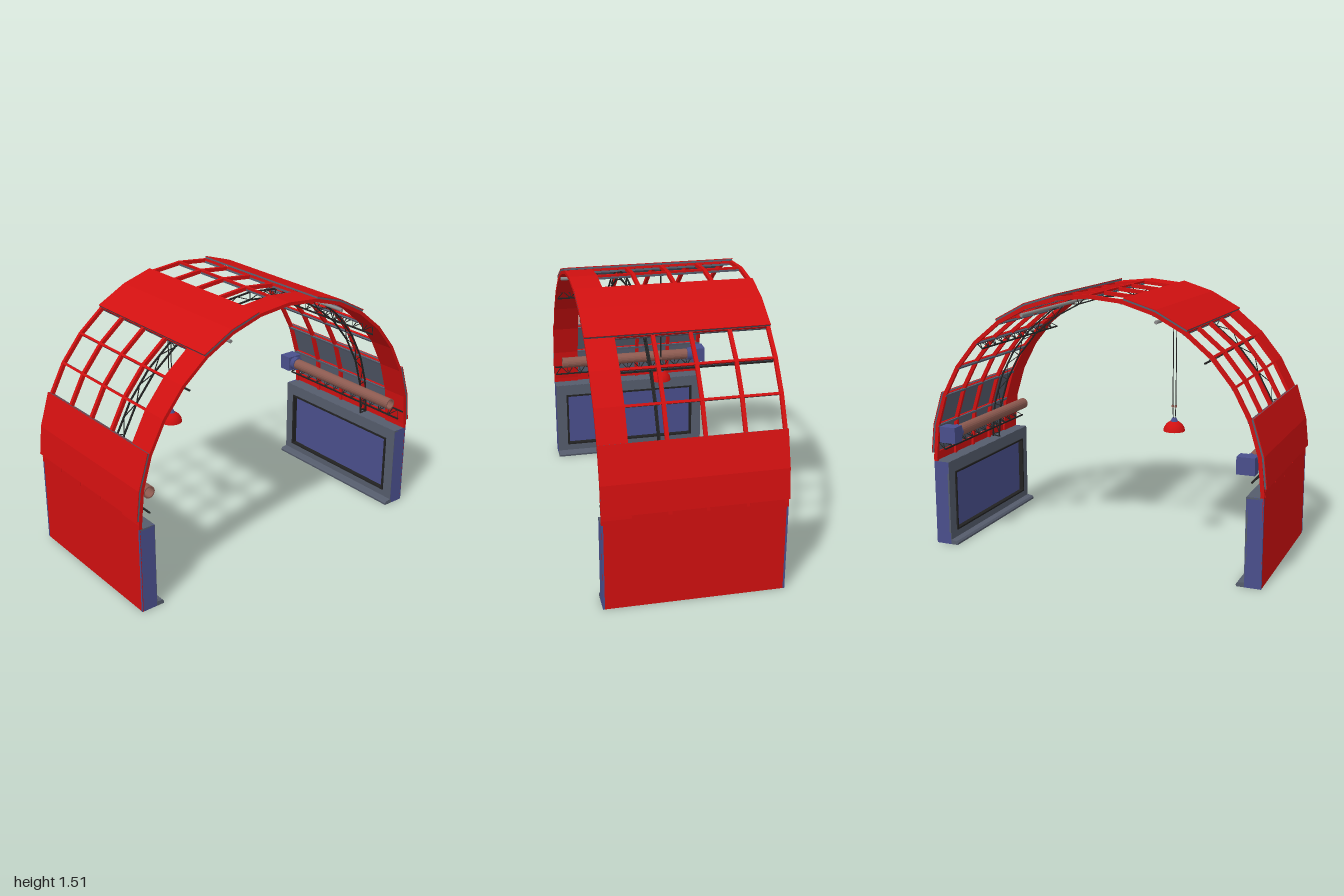
import * as THREE from 'three';
import { mergeGeometries } from 'three/addons/utils/BufferGeometryUtils.js';

const mat = (color) => new THREE.MeshStandardMaterial({ color, side: THREE.DoubleSide });
const RED = mat(0xd01010), BLUE = mat(0x4a4f8c), SLATE = mat(0x555c6c);
const DARK = mat(0x222222), BROWN = mat(0x8c5a50), GREY = mat(0x8a8a8a);

const CY = 0.525, STEP = 11.25;          // arch centre height, degrees per facet
const X0 = -0.49, X1 = 0.497, XB = 0.34; // right end, left end, start of solid band
const V = (x, y, z) => new THREE.Vector3(x, y, z);
const polar = (r, deg) => {
  const a = THREE.MathUtils.degToRad(deg);
  return [r * Math.sin(a), CY + r * Math.cos(a)];
};

export function createModel() {
  const root = new THREE.Group();
  const add = (name, geometry, material, parent = root) => {
    const m = new THREE.Mesh(geometry, material);
    m.name = name;
    parent.add(m);
    return m;
  };
  // box given by its limits on each axis
  const box = (name, xa, xb, ya, yb, za, zb, material, parent) => {
    const m = add(name, new THREE.BoxGeometry(xb - xa, yb - ya, Math.abs(zb - za)), material, parent);
    m.position.set((xa + xb) / 2, (ya + yb) / 2, (za + zb) / 2);
    return m;
  };
  // straight bar geometry between two points
  const bar = (a, b, t) => {
    const g = new THREE.BoxGeometry(t, t, a.distanceTo(b));
    const o = new THREE.Object3D();
    o.position.copy(a).add(b).multiplyScalar(0.5);
    o.lookAt(b);
    o.updateMatrix();
    return g.applyMatrix4(o.matrix);
  };
  // faceted curved strip between two radii, extruded along x
  const strip = (name, angles, r0, r1, xa, xb, material, legs = false) => {
    const edge = (r) => {
      const p = angles.map((a) => polar(r, a));
      return legs ? [[-r, 0.5], ...p, [r, 0.5]] : p;
    };
    const pts = [...edge(r1), ...edge(r0).reverse()].map((p) => new THREE.Vector2(...p));
    const g = new THREE.ExtrudeGeometry(new THREE.Shape(pts), { depth: xb - xa, bevelEnabled: false });
    g.rotateY(-Math.PI / 2).translate(xb, 0, 0);
    return add(name, g, material);
  };
  // lattice truss between two chords of equal point count
  const truss = (name, p, q, chord, web) => {
    const parts = [];
    for (let i = 0; i < p.length - 1; i++) {
      parts.push(bar(p[i], p[i + 1], chord), bar(q[i], q[i + 1], chord));
      const mid = p[i].clone().lerp(p[i + 1], 0.5);
      parts.push(bar(q[i], mid, web), bar(mid, q[i + 1], web), bar(p[i], q[i], web));
    }
    return add(name, mergeGeometries(parts), DARK);
  };

  // Arch: solid end band, slim ribs and a lattice hoop
  const full = Array.from({ length: 17 }, (_, i) => -90 + i * STEP);
  strip('archBand', full, 0.967, 0.986, XB, X1, RED, true);
  [-0.48, -0.27, -0.06, 0.14].forEach((x) =>
    strip('archRib', full, 0.965, 0.986, x - 0.01, x + 0.01, RED, true));
  const hoop = (r) => [V(0.175, 0.5, -r), ...full.map((a) => {
    const [z, y] = polar(r, a);
    return V(0.175, y, z);
  }), V(0.175, 0.5, r)];
  truss('hoopTruss', hoop(0.962), hoop(0.917), 0.008, 0.004);

  // Glazing bars along the facet edges
  full.slice(1, -1).forEach((a) => {
    [[0.98, 0.012, RED, 'glazingBar'], [0.967, 0.01, SLATE, 'glazingBarLining']].forEach(([r, h, m, name]) => {
      const [z, y] = polar(r, a);
      const b = add(name, new THREE.BoxGeometry(XB - X0, h, 0.013), m);
      b.position.set((XB + X0) / 2, y, z);
      b.rotation.x = THREE.MathUtils.degToRad(a);
    });
  });

  // Overlapping cladding panels, red outside with a slate lining
  [[11.8, 22.5, 34], [67, 78.75, 88.5]].forEach((angles) => [1, -1].forEach((s) => {
    const list = angles.map((a) => a * s);
    strip('panelLining', list, 0.986, 0.996, X0, X1, SLATE);
    strip('claddingPanel', list, 0.996, 1.0, X0 - 0.001, X1 + 0.001, RED);
  }));

  [1, -1].forEach((s) => {
    // Lengthwise lattice purlins
    const line = (z, y) => Array.from({ length: 13 }, (_, i) => V(X0 + 0.01 + i * 0.081, y, z * s));
    truss('purlinTruss', line(0.688, 1.212), line(0.65, 1.182), 0.008, 0.004);
    truss('lowerTruss', line(0.955, 0.61), line(0.915, 0.575), 0.008, 0.004);

    // Long rail under the roof
    const rail = add('roofRail', new THREE.CylinderGeometry(0.01, 0.01, 1, 10), GREY);
    rail.rotation.z = Math.PI / 2;
    rail.position.set(-0.003, 1.385, 0.39 * s);

    // Roller tube with motor box
    const roller = new THREE.Group();
    roller.name = 'roller';
    roller.position.set(0, 0.665, 0.885 * s);
    root.add(roller);
    const tube = new THREE.Shape().absarc(0, 0, 0.034, 0, Math.PI * 2);
    tube.holes.push(new THREE.Path().absarc(0, 0, 0.027, 0, Math.PI * 2, true));
    const tg = new THREE.ExtrudeGeometry(tube, { depth: 0.85, bevelEnabled: false, curveSegments: 10 });
    add('rollerTube', tg.rotateY(Math.PI / 2).translate(-0.4, 0, 0), BROWN, roller);
    box('motorBox', -0.5, -0.42, -0.047, 0.047, -0.05, 0.05, BLUE, roller);
    const flange = add('motorFlange', new THREE.CylinderGeometry(0.044, 0.044, 0.035, 8), BLUE, roller);
    flange.rotation.z = Math.PI / 2;
    flange.position.x = -0.405;

    // Base wall: hollow, open below, recessed framed panel inside
    const wall = new THREE.Group();
    wall.name = 'baseWall';
    root.add(wall);
    const wb = (name, xa, xb, ya, yb, za, zb, m) => box(name, xa, xb, ya, yb, za * s, zb * s, m, wall);
    wb('outerSheet', X0, X1, 0, 0.55, 0.978, 0.984, RED);
    wb('wallTop', X0, X1, 0.49, 0.5, 0.892, 0.978, SLATE);
    wb('wallEnd', X0, X0 + 0.01, 0, 0.5, 0.892, 0.985, BLUE);
    wb('wallEnd', X1 - 0.01, X1, 0, 0.5, 0.892, 0.985, BLUE);
    wb('frameTop', X0, X1, 0.43, 0.499, 0.89, 0.9, SLATE);
    wb('frameBottom', X0, X1, 0, 0.07, 0.89, 0.9, SLATE);
    wb('frameSide', X0, X0 + 0.065, 0.07, 0.43, 0.89, 0.9, SLATE);
    wb('frameSide', X1 - 0.065, X1, 0.07, 0.43, 0.89, 0.9, SLATE);
    wb('innerPanel', X0 + 0.06, X1 - 0.06, 0.06, 0.44, 0.91, 0.915, BLUE);
    [[X0 + 0.065, X1 - 0.065, 0.42, 0.43], [X0 + 0.065, X1 - 0.065, 0.07, 0.08],
      [X0 + 0.065, X0 + 0.077, 0.07, 0.43], [X1 - 0.077, X1 - 0.065, 0.07, 0.43]]
      .forEach(([a, b, c, d]) => wb('panelMoulding', a, b, c, d, 0.882, 0.912, DARK));
    // Raised infill boards just above the wall
    [[-0.47, -0.28], [-0.262, -0.07], [-0.05, 0.13], [0.15, 0.34]].forEach(([a, b]) =>
      wb('infillBoard', a, b, 0.5, 0.55, 0.984, 0.987, RED));
    // Foot with rounded toe
    const foot = new THREE.Shape([[0.9, 0], [0.848, 0], [0.846, 0.012], [0.855, 0.022], [0.9, 0.028]]
      .map(([z, y]) => new THREE.Vector2(z * s, y)));
    const fg = new THREE.ExtrudeGeometry(foot, { depth: X1 - X0, bevelEnabled: false });
    add('wallFoot', fg.rotateY(-Math.PI / 2).translate(X1, 0, 0), SLATE, wall);
  });

  // Hanging lamp
  const lamp = new THREE.Group();
  lamp.name = 'hangingLamp';
  lamp.position.set(-0.095, 0, 0.355);
  root.add(lamp);
  const shade = [[0.062, 0.715], [0.058, 0.735], [0.045, 0.755], [0.025, 0.77], [0.001, 0.773]];
  add('lampShade', new THREE.LatheGeometry(shade.map((p) => new THREE.Vector2(...p)), 16), RED, lamp);
  add('lampCap', new THREE.CylinderGeometry(0.012, 0.024, 0.024, 10).translate(0, 0.778, 0), BLUE, lamp);
  add('lampBulb', new THREE.SphereGeometry(0.02, 12, 8).translate(0, 0.74, 0), GREY, lamp);
  [-0.009, 0.009].forEach((z) => {
    add('lampCable', bar(V(0, 0.86, z), V(0, 1.43, z), 0.004), DARK, lamp);
    add('cableClip', new THREE.BoxGeometry(0.01, 0.012, 0.012).translate(0, 0.857, z), BROWN, lamp);
    add('lampHanger', bar(V(0, 0.785, z * 0.6), V(0, 0.86, z), 0.004), DARK, lamp);
  });
  return root;
}
